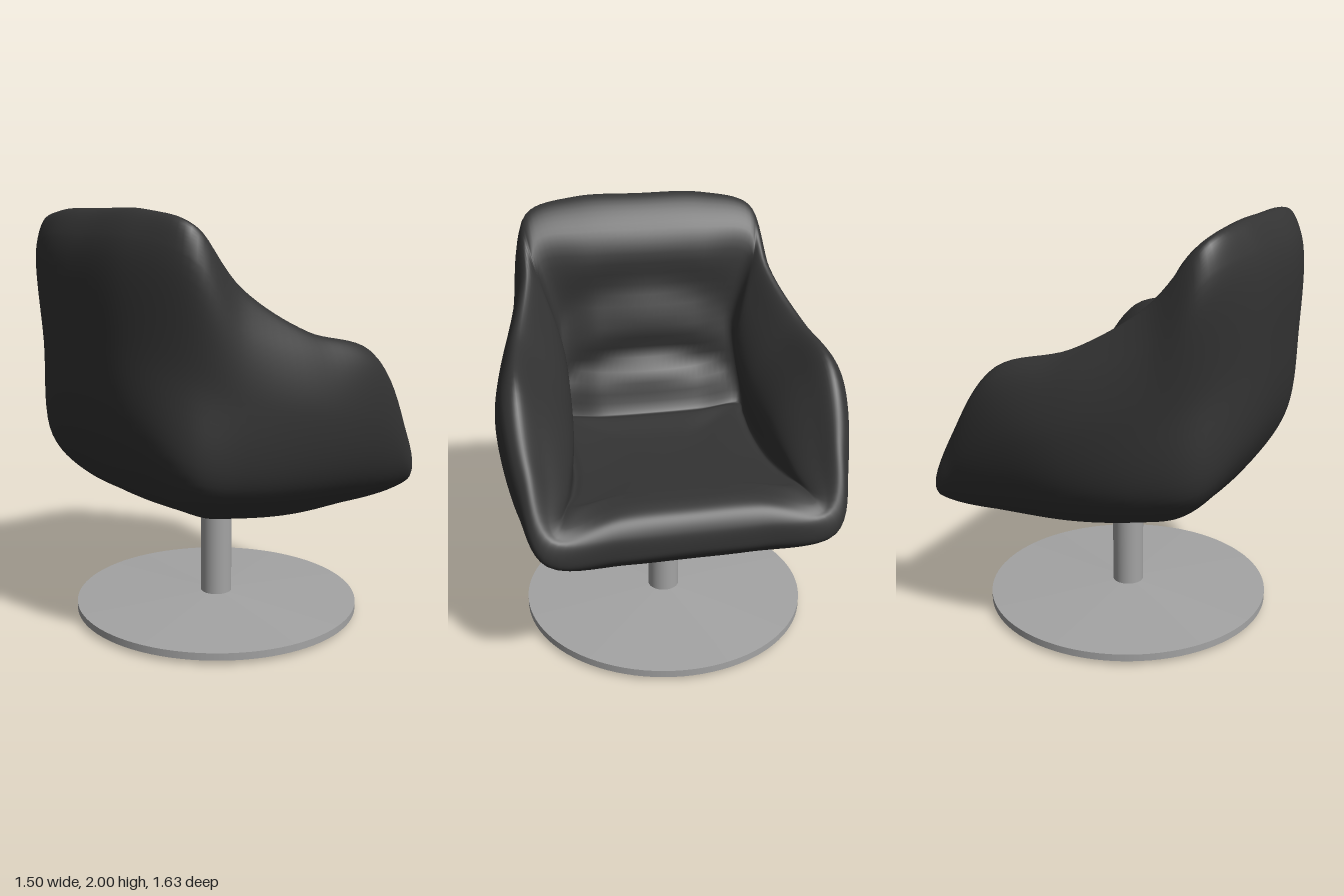
import * as THREE from 'three';

const upholstery = new THREE.MeshStandardMaterial({ color: 0x333333 });
upholstery.name = 'charcoal upholstery';
const metal = new THREE.MeshStandardMaterial({ color: 0xa4a4a4 });
metal.name = 'grey metal';

// Half rings of the shell: back centre, round the +z side, to the front centre.
const BOTTOM = [[-.51, .72, 0], [-.49, .715, .25], [-.43, .69, .44], [-.25, .65, .48], [0, .60, .48],
  [.20, .58, .48], [.40, .575, .47], [.55, .57, .45], [.56, .55, .22], [.56, .548, 0]];
const LOW = [[-.70, 1.03, 0], [-.67, .98, .32], [-.555, .87, .565], [-.33, .82, .655], [0, .79, .72],
  [.30, .76, .72], [.54, .70, .68], [.69, .64, .60], [.68, .62, .32], [.68, .62, 0]];
const MID = [[-.75, 1.45, 0], [-.72, 1.42, .32], [-.585, 1.33, .56], [-.36, 1.2, .695], [0, 1.12, .80],
  [.30, 1.05, .81], [.56, .86, .755], [.725, .69, .66], [.715, .66, .34], [.71, .66, 0]];
const UPPER = [[-.725, 1.87, 0], [-.705, 1.87, .33], [-.595, 1.80, .60], [-.36, 1.53, .67], [0, 1.40, .745],
  [.34, 1.31, .785], [.58, 1.0, .745], [.733, .73, .66], [.72, .70, .33], [.715, .69, 0]];
const RIM = [[-.61, 2.0, 0], [-.61, 1.994, .33], [-.555, 1.93, .575], [-.325, 1.67, .61], [-.02, 1.48, .68],
  [.33, 1.375, .72], [.56, 1.07, .70], [.718, .79, .63], [.71, .77, .32], [.705, .765, 0]];
const INNER_TOP = [[-.44, 1.82, 0], [-.44, 1.82, .28], [-.43, 1.79, .55], [-.30, 1.54, .525], [0, 1.37, .575],
  [.32, 1.26, .61], [.54, 1.0, .62], [.70, .80, .60], [.67, .83, .32], [.665, .83, 0]];
const INNER_MID = [[-.365, 1.36, 0], [-.38, 1.36, .25], [-.40, 1.36, .45], [-.24, 1.25, .435], [0, 1.14, .445],
  [.28, 1.06, .475], [.50, .92, .53], [.66, .825, .575], [.60, .86, .30], [.60, .86, 0]];
const CREASE = [[-.26, .93, 0], [-.27, .93, .25], [-.31, .93, .485], [-.20, .91, .48], [0, .885, .465],
  [.25, .867, .47], [.44, .862, .50], [.56, .86, .52], [.51, .87, .28], [.51, .87, 0]];

// Hollows across the inside of the back: height, spread, depth
const HOLLOWS = [[1.58, .10, .025], [1.22, .065, .055]];

// Mirrors a half ring and closes it as a smooth curve.
function ring(half) {
  const pts = half.map(p => new THREE.Vector3(...p));
  const mirrored = pts.slice(1, -1).reverse().map(p => new THREE.Vector3(p.x, p.y, -p.z));
  return new THREE.CatmullRomCurve3([...pts, ...mirrored], true);
}

// Shrinks a half ring towards a pole; power shapes the height.
const shrink = (half, pole, t, power) => half.map(p => [
  pole[0] + (p[0] - pole[0]) * t,
  pole[1] + (p[1] - pole[1]) * Math.pow(t, power),
  pole[2] + (p[2] - pole[2]) * t]);

// One continuous skin: underside, outer wall, rim, inner wall, seat.
function shellGeometry(cols, rows) {
  const under = [.10, .51, 0], seat = [.12, .87, 0];
  const rings = [
    shrink(BOTTOM, under, 0, 1), shrink(BOTTOM, under, .5, 2), BOTTOM, LOW, MID, UPPER, RIM,
    INNER_TOP, INNER_MID, CREASE, shrink(CREASE, seat, .9, 1), shrink(CREASE, seat, .5, 2),
    shrink(CREASE, seat, 0, 1),
  ].map(ring);

  const pos = [], index = [];
  for (let i = 0; i < cols; i++) {
    const section = new THREE.CatmullRomCurve3(rings.map(r => r.getPoint(i / cols)));
    for (let j = 0; j <= rows; j++) {
      const v = j / rows, p = section.getPoint(v);
      if (v > 7 / 12 && p.x < -.1) {
        const fade = Math.max(0, 1 - Math.pow(p.z / .45, 4));
        const y = p.y + p.z * p.z * .5;
        for (const [height, spread, depth] of HOLLOWS) {
          p.x -= depth * fade * Math.exp(-Math.pow((y - height) / spread, 2));
        }
      }
      pos.push(p.x, p.y, p.z);
    }
  }
  const at = (i, j) => (i % cols) * (rows + 1) + j;
  for (let i = 0; i < cols; i++) {
    for (let j = 0; j < rows; j++) {
      const a = at(i, j), b = at(i + 1, j), c = at(i + 1, j + 1), d = at(i, j + 1);
      if (j > 0) index.push(a, b, c);
      if (j < rows - 1) index.push(a, c, d);
      else index.push(a, b, d);
    }
  }
  const g = new THREE.BufferGeometry();
  g.setAttribute('position', new THREE.Float32BufferAttribute(pos, 3));
  g.setIndex(index);
  g.computeVertexNormals();
  return g;
}

export function createModel() {
  const model = new THREE.Group();
  model.name = 'swivelArmchair';
  const add = (name, geometry, material, x, y) => {
    const mesh = new THREE.Mesh(geometry, material);
    mesh.name = name;
    mesh.position.set(x, y, 0);
    model.add(mesh);
  };

  add('upholsteredShell', shellGeometry(144, 108), upholstery, 0, 0);

  // Pedestal: column through a shallow conical disc, hollow underneath
  const axis = .04;
  add('column', new THREE.CylinderGeometry(.078, .078, .56, 48), metal, axis, .28);
  const disc = [[.07, .065], [.71, .02], [.71, .055], [.07, .08]].map(p => new THREE.Vector2(...p));
  ['baseUnderside', 'baseEdge', 'baseTop'].forEach((name, i) =>
    add(name, new THREE.LatheGeometry(disc.slice(i, i + 2), 96), metal, axis, 0));
  return model;
}
